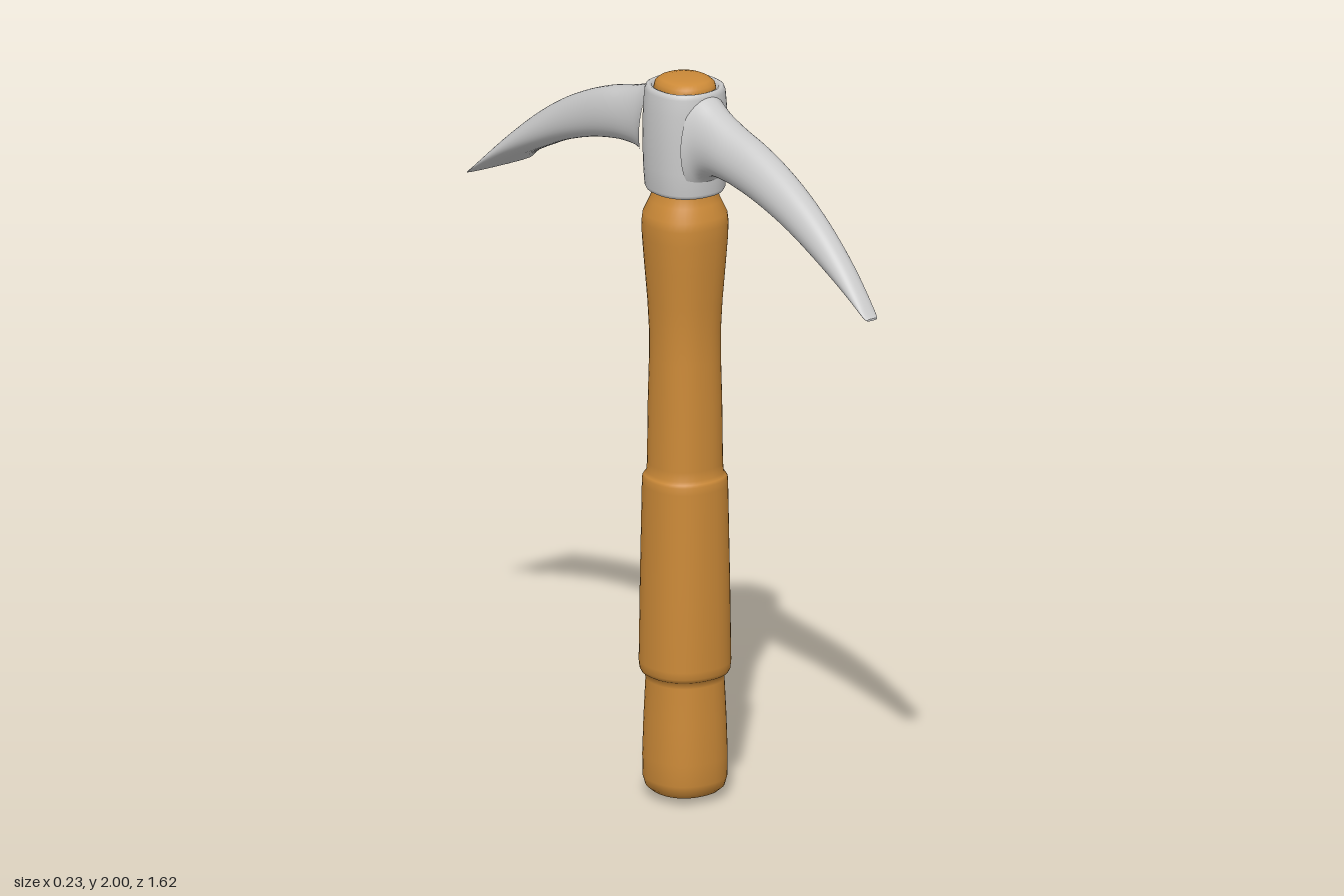
import * as THREE from 'three';

const SIDES = 40;
const wood = new THREE.MeshStandardMaterial({ color: 0xcc8a38 });
const steel = new THREE.MeshStandardMaterial({ color: 0xcccccc });

// Unit superellipse: n = 2 is round, larger n is squarer
function unitRing(n) {
  return Array.from({ length: SIDES }, (_, i) => {
    const a = (i / SIDES) * Math.PI * 2;
    const p = (v) => Math.sign(v) * Math.pow(Math.abs(v), 2 / n);
    return [p(Math.cos(a)), p(Math.sin(a))];
  });
}

// Skin over rings of points that run counter-clockwise about the travel direction
function loft(name, rings, material, capped = false) {
  const pos = rings.flat(2);
  const index = [];
  for (let r = 0; r < rings.length - 1; r++) {
    for (let i = 0; i < SIDES; i++) {
      const j = (i + 1) % SIDES;
      const a = r * SIDES + i, b = r * SIDES + j;
      index.push(a, b, b + SIDES, a, b + SIDES, a + SIDES);
    }
  }
  if (capped) {
    // Flat end with its own vertices, so the tip edge stays crisp
    const base = pos.length / 3;
    pos.push(...rings[rings.length - 1].flat());
    for (let i = 1; i < SIDES - 1; i++) index.push(base, base + i, base + i + 1);
  }
  const g = new THREE.BufferGeometry();
  g.setAttribute('position', new THREE.Float32BufferAttribute(pos, 3));
  g.setIndex(index);
  g.computeVertexNormals();
  const mesh = new THREE.Mesh(g, material);
  mesh.name = name;
  return mesh;
}

// Upright form from [y, half width, half depth]
function upright(name, profile, n, material) {
  const unit = unitRing(n);
  return loft(name, profile.map(([y, rx, rz = rx]) =>
    unit.map(([u, v]) => [u * rx, y, -v * rz])), material);
}

// Curved arm from [distance, top, bottom, half width], smoothed along its length
function arm(name, dir, n, sections) {
  const unit = unitRing(n);
  const mid = new THREE.CatmullRomCurve3(sections.map(([d, t, b]) => new THREE.Vector3(d, t, b)));
  const wide = new THREE.CatmullRomCurve3(sections.map(([d, , , w]) => new THREE.Vector3(d, w, 0)));
  const rings = [];
  const steps = 48;
  for (let s = 0; s <= steps; s++) {
    const { x: d, y: top, z: bottom } = mid.getPoint(s / steps);
    const w = wide.getPoint(s / steps).y;
    rings.push(unit.map(([u, v]) => {
      const x = u * w * (1 - 0.18 * Math.max(v, 0)); // slightly narrower on top
      return [dir * x, (top + bottom) / 2 + v * (top - bottom) / 2, dir * d];
    }));
  }
  return loft(name, rings, steel, true);
}

export function createModel() {
  const model = new THREE.Group();
  model.name = 'pickaxe';

  // Wooden handle with a thicker grip, a waist and a shoulder below the head
  model.add(upright('handle', [
    [0.005, 0.001], [0.01, 0.045], [0.022, 0.085], [0.035, 0.1], [0.06, 0.107], [0.12, 0.108],
    [0.22, 0.105], [0.33, 0.1], [0.345, 0.101], [0.35, 0.11], [0.36, 0.115], [0.38, 0.117],
    [0.6, 0.114], [0.87, 0.109], [0.89, 0.108], [0.897, 0.104], [0.905, 0.098], [0.93, 0.096],
    [1.1, 0.094], [1.22, 0.091], [1.3, 0.091], [1.38, 0.095], [1.48, 0.103], [1.56, 0.109],
    [1.6, 0.11], [1.625, 0.107], [1.66, 0.091], [1.69, 0.079], [1.72, 0.076, 0.082],
    [1.97, 0.076, 0.084], [1.985, 0.073, 0.08], [1.995, 0.062, 0.068], [2, 0.04, 0.045], [2, 0.001],
  ], 2.3, wood));

  // Steel head: hollow eye around the handle, pointed front arm, flared rear arm
  const head = new THREE.Group();
  head.name = 'head';
  head.add(upright('eye', [
    [1.72, 0.078, 0.084], [1.692, 0.08, 0.086], [1.688, 0.088, 0.094], [1.69, 0.095, 0.101],
    [1.7, 0.1, 0.106], [1.76, 0.105, 0.108], [1.85, 0.107, 0.109], [1.92, 0.105, 0.108],
    [1.965, 0.101, 0.105], [1.976, 0.097, 0.101], [1.979, 0.091, 0.096], [1.976, 0.083, 0.088],
    [1.96, 0.077, 0.083],
  ], 2.3, steel));

  const root = [[0.09, 1.974, 1.71, 0.084], [0.115, 1.962, 1.745, 0.073], [0.15, 1.943, 1.762, 0.067]];
  head.add(arm('pointedArm', 1, 2.4, [
    ...root, [0.22, 1.917, 1.764, 0.064], [0.31, 1.893, 1.75, 0.06], [0.4, 1.86, 1.727, 0.056],
    [0.5, 1.812, 1.692, 0.05], [0.6, 1.748, 1.646, 0.043], [0.7, 1.664, 1.596, 0.035],
    [0.77, 1.59, 1.557, 0.027], [0.805, 1.548, 1.537, 0.021], [0.812, 1.541, 1.535, 0.017],
  ]));
  head.add(arm('flaredArm', -1, 2.6, [
    ...root, [0.22, 1.917, 1.764, 0.063], [0.31, 1.893, 1.75, 0.059], [0.4, 1.86, 1.727, 0.057],
    [0.5, 1.812, 1.692, 0.061], [0.6, 1.748, 1.646, 0.073], [0.7, 1.664, 1.596, 0.089],
    [0.77, 1.59, 1.557, 0.102], [0.805, 1.548, 1.537, 0.107], [0.812, 1.541, 1.535, 0.103],
  ]));
  model.add(head);
  return model;
}
